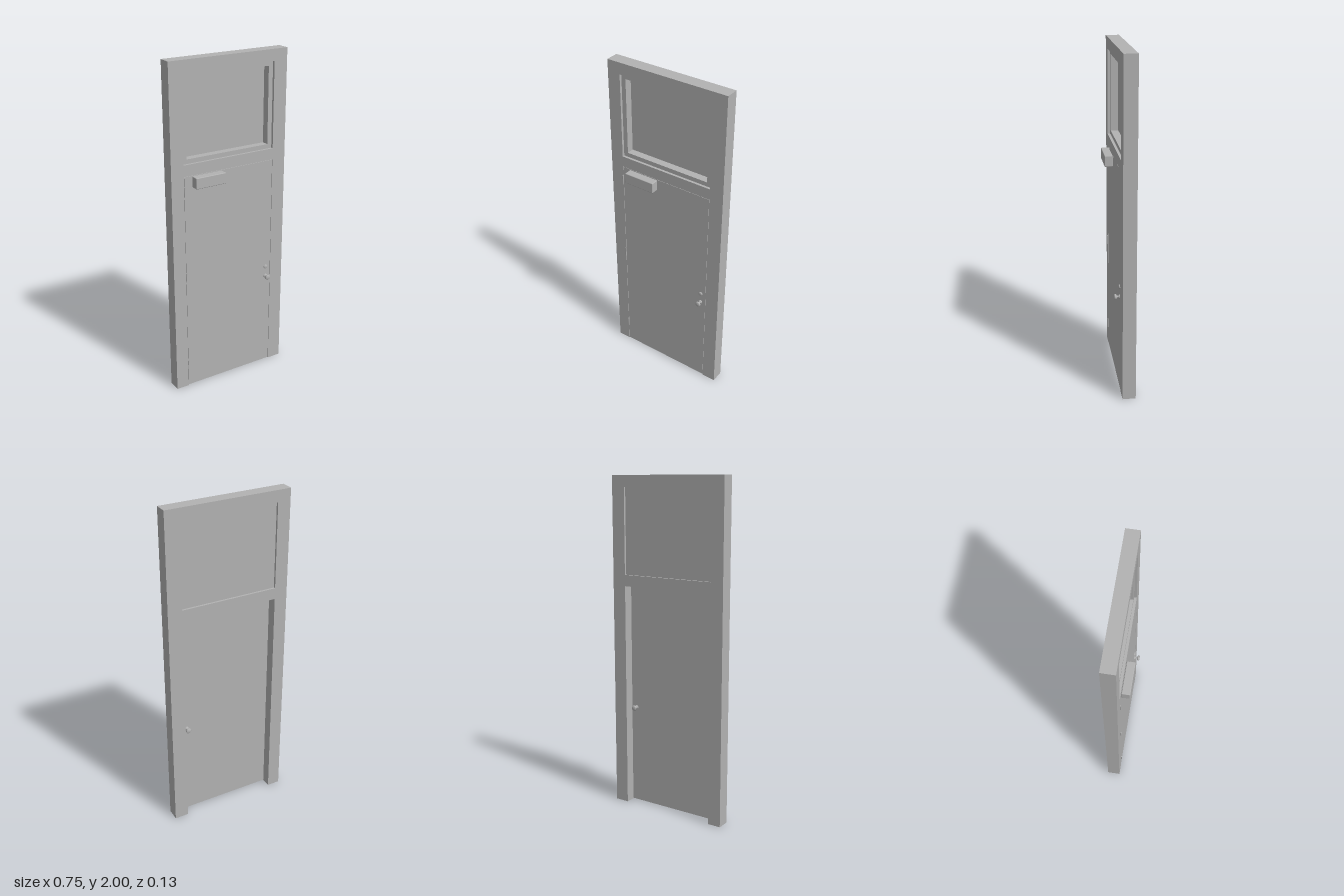
import * as THREE from 'three';
import { RoundedBoxGeometry } from 'three/addons/geometries/RoundedBoxGeometry.js';

const FRONT = 0.015, BACK = -0.063;      // faces of the frame
const LEFT = -0.298, RIGHT = 0.292;      // sides of both openings
const DOOR_TOP = 1.358, DOOR_BACK = -0.006;

const grey = new THREE.MeshStandardMaterial({ color: 0xb2b2b2 });
grey.name = 'grey';

function add(parent, name, geometry, x = 0, y = 0, z = 0) {
  const mesh = new THREE.Mesh(geometry, grey);
  mesh.name = name;
  mesh.position.set(x, y, z);
  parent.add(mesh);
  return mesh;
}

// Box given by its limits
function slab(parent, name, x0, x1, y0, y1, z0, z1) {
  return add(parent, name, new THREE.BoxGeometry(x1 - x0, y1 - y0, z1 - z0),
    (x0 + x1) / 2, (y0 + y1) / 2, (z0 + z1) / 2);
}

function rect(Type, x0, x1, y0, y1) {
  return new Type([[x0, y0], [x1, y0], [x1, y1], [x0, y1]].map(p => new THREE.Vector2(...p)));
}

const extrude = (shape, depth) => new THREE.ExtrudeGeometry(shape, { depth, bevelEnabled: false });

// Turned part whose axis points along +z; points are [radius, distance]
function turned(points) {
  const g = new THREE.LatheGeometry(points.map(p => new THREE.Vector2(...p)), 24);
  return g.rotateX(Math.PI / 2);
}

export function createModel() {
  const model = new THREE.Group();
  model.name = 'doorWithTransom';

  // Frame: open at the floor for the door, with a transom opening above
  const outline = new THREE.Shape([
    [-0.377, 0], [LEFT, 0], [LEFT, DOOR_TOP], [RIGHT, DOOR_TOP],
    [RIGHT, 0], [0.377, 0], [0.377, 2], [-0.377, 2],
  ].map(p => new THREE.Vector2(...p)));
  outline.holes.push(rect(THREE.Path, LEFT, RIGHT, 1.425, 1.932));
  add(model, 'frame', extrude(outline, FRONT - BACK), 0, 0, BACK);

  // Transom: recessed sash around a pane set near the back
  const sash = rect(THREE.Shape, LEFT, RIGHT, 1.425, 1.932);
  sash.holes.push(rect(THREE.Path, -0.271, 0.264, 1.451, 1.906));
  add(model, 'transomSash', extrude(sash, 0.045), 0, 0, -0.045);
  slab(model, 'transomPane', LEFT, RIGHT, 1.425, 1.932, -0.05, -0.045);

  // Door leaf with a thin gap all round
  slab(model, 'doorLeaf', LEFT + 0.002, RIGHT - 0.002, 0.005, DOOR_TOP - 0.002, DOOR_BACK, FRONT - 0.0005);

  // Door closer
  add(model, 'doorCloser', new RoundedBoxGeometry(0.192, 0.065, 0.048, 3, 0.004), -0.151, 1.322, 0.039);

  // Hinge barrels
  for (const y of [0.15, 0.74, 1.268]) {
    add(model, 'hinge', new THREE.CylinderGeometry(0.0035, 0.0035, 0.058, 12), LEFT + 0.001, y, 0.0185);
  }

  // Knobs on both faces: rose, neck and rounded grip
  const knob = turned([
    [0.013, 0], [0.013, 0.004], [0.011, 0.007], [0.006, 0.008], [0.006, 0.018],
    [0.012, 0.02], [0.016, 0.023], [0.016, 0.03], [0.013, 0.034], [0, 0.035],
  ]);
  add(model, 'frontKnob', knob, 0.257, 0.607, FRONT);
  add(model, 'backKnob', knob, 0.257, 0.607, DOOR_BACK).rotation.y = Math.PI;

  // Lock cylinder above the knob
  add(model, 'lock', turned([[0.013, 0], [0.013, 0.004], [0.01, 0.008], [0, 0.008]]), 0.257, 0.67, FRONT);

  return model;
}
